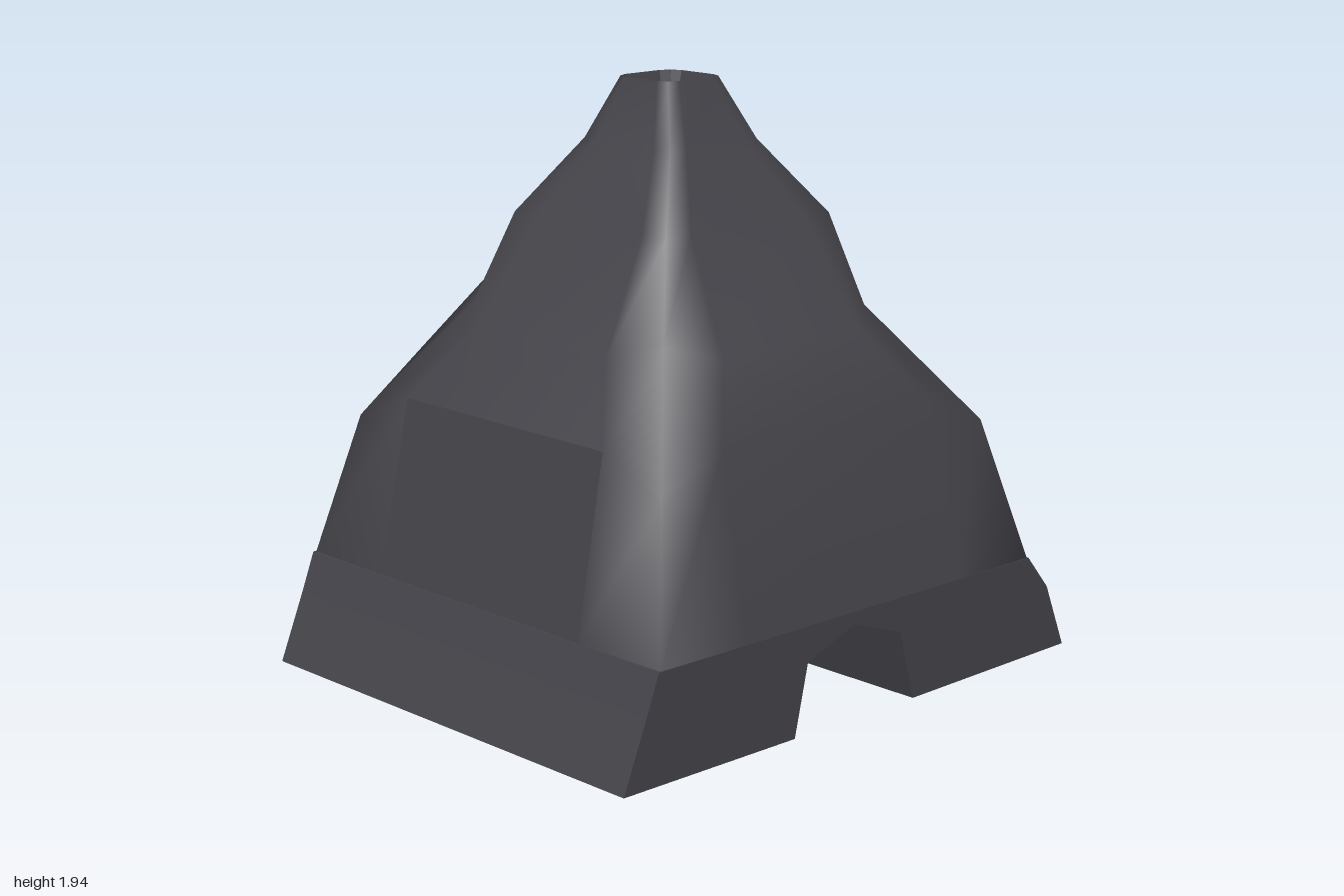
import * as THREE from 'three';

// Ring of 12 points: four corners with two points along each side between them.
// yc, sc: height and scale of the corners; f: where the side points sit; yb: height of the rear side
function ring({ y, xl, xr, zf, zb, f, yb = y, yc = y, sc = 1 }) {
  const cx = (xl + xr) / 2, hx = (xr - xl) / 2, cz = (zf + zb) / 2, hz = (zf - zb) / 2;
  const ys = (y + yb) / 2;
  const p = (u, v, h) => [cx + u * hx, h, cz + v * hz];
  const c = (u, v) => p(u * sc, v * sc, yc);
  return [
    c(-1, 1), p(-f, 1, y), p(f, 1, y),
    c(1, 1), p(1, f, y), p(1, -f, ys),
    c(1, -1), p(f, -1, yb), p(-f, -1, yb),
    c(-1, -1), p(-1, -f, y), p(-1, f, y),
  ];
}

// Skin between successive rings, optionally leaving out one quad
function loft(rings, skip = () => false, cap = false) {
  const n = 12, index = [];
  for (let i = 0; i < rings.length - 1; i++) {
    for (let j = 0; j < n; j++) {
      if (skip(i, j)) continue;
      const k = (j + 1) % n;
      const a = i * n + j, b = i * n + k, c = b + n, d = a + n;
      index.push(a, b, c, a, c, d);
    }
  }
  if (cap) {
    const s = (rings.length - 1) * n;
    for (let j = 1; j < n - 1; j++) index.push(s, s + j, s + j + 1);
  }
  const g = new THREE.BufferGeometry();
  g.setAttribute('position', new THREE.Float32BufferAttribute(rings.flat(2), 3));
  g.setIndex(index);
  return g;
}

export function createModel() {
  const group = new THREE.Group();
  const charcoal = new THREE.MeshStandardMaterial({ color: 0x45444a });
  charcoal.name = 'charcoal';
  const add = (name, geometry) => {
    const mesh = new THREE.Mesh(geometry, charcoal);
    mesh.name = name;
    group.add(mesh);
  };

  // Base block with sloping sides and a channel running front to back
  const outline = [
    [-1, 0], [-0.29, 0], [-0.235, 0.235], [-0.025, 0.31], [0.185, 0.235], [0.25, 0],
    [1, 0.01], [0.91, 0.23], [0.81, 0.35], [-0.86, 0.35], [-0.91, 0.22],
  ];
  const base = new THREE.ExtrudeGeometry(
    new THREE.Shape(outline.map(([x, y]) => new THREE.Vector2(x, y))),
    { depth: 1.68, bevelEnabled: false });
  base.translate(0, 0, -0.84);
  add('base', base);

  // Tapering body with softly rounded, slightly dented corners
  const rings = [
    { y: 0.35, xl: -0.855, xr: 0.81, zf: 0.84, zb: -0.84, f: 0.57, sc: 0.995 },
    { y: 0.92, xl: -0.74, xr: 0.69, zf: 0.72, zb: -0.72, f: 0.65, yb: 1.0, yc: 0.82 },
    { y: 1.15, xl: -0.58, xr: 0.53, zf: 0.56, zb: -0.57, f: 0.55, yb: 1.24, yc: 1.2, sc: 0.8 },
    { y: 1.5, xl: -0.38, xr: 0.34, zf: 0.36, zb: -0.35, f: 0.7 },
    { y: 1.74, xl: -0.22, xr: 0.18, zf: 0.21, zb: -0.21, f: 0.65, sc: 0.95 },
    { y: 1.94, xl: -0.15, xr: 0.1, zf: 0.125, zb: -0.125, f: 0.6, sc: 0.88 },
  ].map(ring);
  const body = loft(rings, (i, j) => i === 0 && j === 10);
  body.computeVertexNormals();
  add('body', body);

  // Flat panel set in the right side
  const panel = new THREE.BufferGeometry();
  const corners = [rings[0][10], rings[0][11], rings[1][11], rings[1][10]];
  panel.setAttribute('position', new THREE.Float32BufferAttribute(corners.flat(), 3));
  panel.setIndex([0, 1, 2, 0, 2, 3]);
  panel.computeVertexNormals();
  add('sidePanel', panel);

  // Funnel-shaped opening at the summit with a small square floor
  const floor = ring({ y: 1.7, xl: -0.075, xr: 0.025, zf: 0.05, zb: -0.05, f: 0.6 });
  const opening = loft([rings[5], floor], undefined, true).toNonIndexed();
  opening.computeVertexNormals();
  add('summitOpening', opening);

  return group;
}
